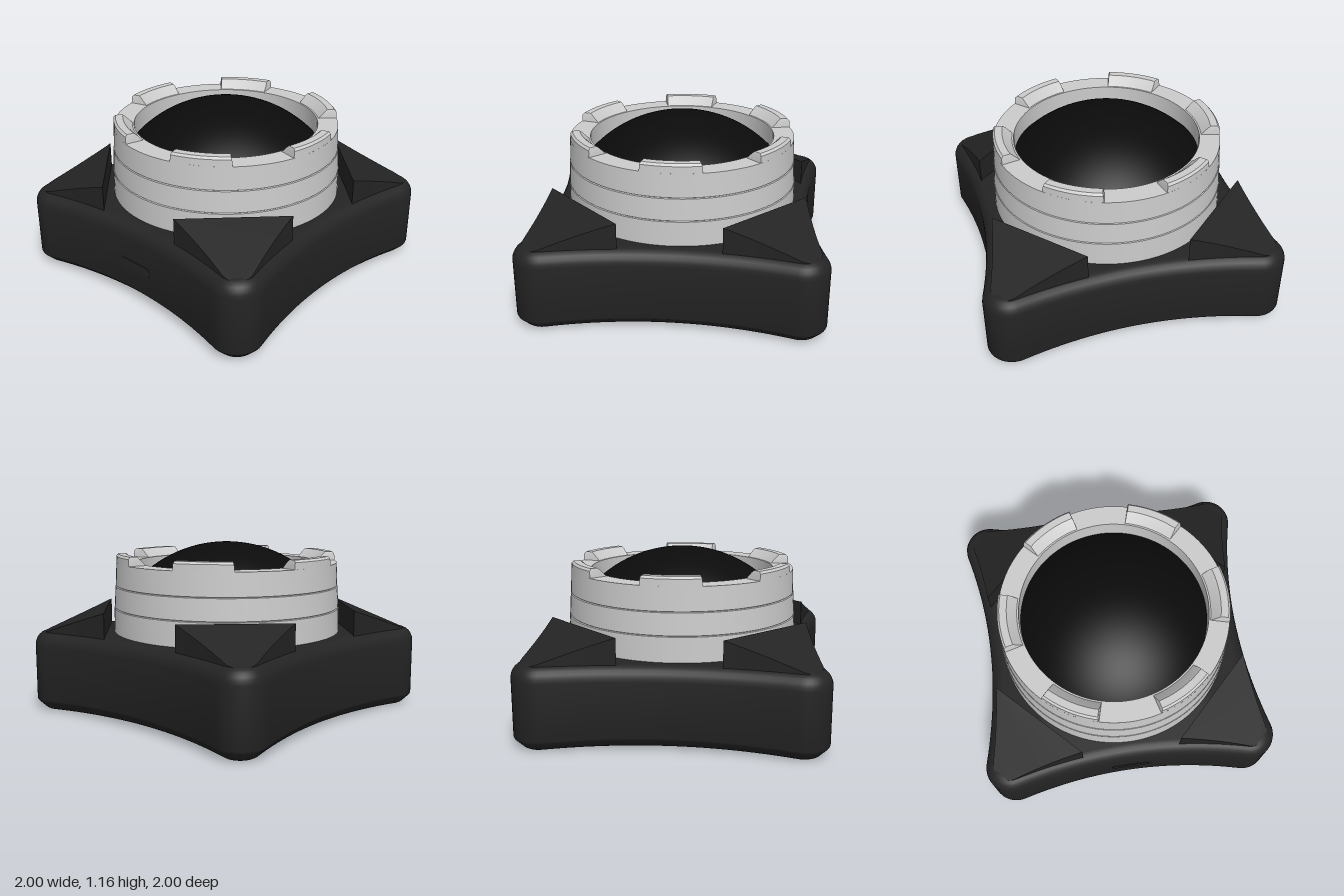
import * as THREE from 'three';
import { toCreasedNormals } from 'three/addons/utils/BufferGeometryUtils.js';

const dark = new THREE.MeshStandardMaterial({ color: 0x242424 });
const black = new THREE.MeshStandardMaterial({ color: 0x0b0b0b });
const grey = new THREE.MeshStandardMaterial({ color: 0xcccccc });

// Footprint: four inward-bowed sides joined by round corners, shrunk by an inset
const CORNER = 0.83, RADIUS = 0.17, MID = 0.895, TILT = 0.248;
const sideEnd = (d) => CORNER - (RADIUS - d) * Math.sin(TILT);
function sideDepth(t, d) {
  const end = CORNER + (RADIUS - d) * Math.cos(TILT);
  return MID - d + (end - MID + d) * (t / sideEnd(d)) ** 2;
}
function cornerArc(d, steps) {
  const pts = [];
  for (let i = 1; i < steps; i++) {
    const a = -TILT + (Math.PI / 2 + 2 * TILT) * i / steps;
    pts.push([CORNER + (RADIUS - d) * Math.cos(a), CORNER + (RADIUS - d) * Math.sin(a)]);
  }
  return pts;
}
function outline(d) {
  const quarter = [], n = 24;
  for (let i = 0; i <= n; i++) {
    const t = sideEnd(d) * (2 * i / n - 1);
    quarter.push([sideDepth(t, d), t]);
  }
  quarter.push(...cornerArc(d, 14));
  const turns = [([x, z]) => [x, z], ([x, z]) => [-z, x], ([x, z]) => [-x, -z], ([x, z]) => [z, -x]];
  return turns.flatMap((turn) => quarter.map(turn));
}

function add(parent, name, geometry, material) {
  const mesh = new THREE.Mesh(geometry, material);
  mesh.name = name;
  parent.add(mesh);
  return mesh;
}

// Housing: stacked outlines from [inset, height, arch of the lower edge]
function housingGeometry() {
  const levels = [[0.075, 0, 0.015], [0.06, 0.008, 0.015], [0.005, 0.062, 0.015], [0, 0.075, 0.015]];
  for (let i = 0; i <= 6; i++) {
    const a = (Math.PI / 2) * i / 6;
    levels.push([0.09 * (1 - Math.cos(a)), 0.455 + 0.097 * Math.sin(a), 0]);
  }
  const pos = [], idx = [];
  let n = 0;
  for (const [d, y, arch] of levels) {
    const loop = outline(d);
    n = loop.length;
    for (const [x, z] of loop) {
      const t = Math.min(1, Math.min(Math.abs(x), Math.abs(z)) / 0.8);
      pos.push(x, y + arch * (1 - t * t), z);
    }
  }
  const last = (levels.length - 1) * n, bottom = levels.length * n, top = bottom + 1;
  pos.push(0, 0.018, 0, 0, 0.552, 0);
  for (let j = 0; j < n; j++) {
    const k = (j + 1) % n;
    for (let r = 0; r < last; r += n) {
      idx.push(r + j, r + n + j, r + k, r + k, r + n + j, r + n + k);
    }
    idx.push(bottom, j, k, top, last + k, last + j);
  }
  const g = new THREE.BufferGeometry();
  g.setAttribute('position', new THREE.Float32BufferAttribute(pos, 3));
  g.setIndex(idx);
  return toCreasedNormals(g, 0.5);
}

// Corner wedge: inset corner of the footprint, its top falling towards the tip
function wedgeGeometry() {
  const d = 0.06, from = 0.33, n = 10, side = [];
  for (let i = 0; i <= n; i++) {
    const t = from + (sideEnd(d) - from) * i / n;
    side.push([sideDepth(t, d), t]);
  }
  const mirrored = side.map(([a, b]) => [b, a]).reverse();
  const pts = [...side, ...cornerArc(d, 10), ...mirrored].map(([x, y]) => new THREE.Vector2(x, y));
  const g = new THREE.ExtrudeGeometry(new THREE.Shape(pts), { depth: 1, bevelEnabled: false });
  g.rotateX(-Math.PI / 2);
  const p = g.attributes.position;
  const ridge = (from + sideDepth(from, d)) / Math.SQRT2;
  for (let i = 0; i < p.count; i++) {
    const s = (p.getX(i) - p.getZ(i)) / Math.SQRT2;
    p.setY(i, p.getY(i) > 0.5 ? 0.72 - 0.4 * (s - ridge) : 0.5);
  }
  return toCreasedNormals(g, 0.5);
}

// Bayonet tooth: a box bent round the ring, chamfered outside and sloped inside
function toothGeometry() {
  const rows = [[1.02, 0.632, 0.768], [1.075, 0.685, 0.766], [1.09, 0.703, 0.752]];
  const g = new THREE.BoxGeometry(1, 1, 1, 1, 2, 10);
  const p = g.attributes.position;
  for (let i = 0; i < p.count; i++) {
    const row = Math.round((p.getY(i) + 0.5) * 2);
    const [y, inner, outer] = rows[row];
    const r = p.getX(i) > 0 ? outer : inner;
    const a = p.getZ(i) * (Math.PI / 6) * (1 - 0.025 * row);
    p.setXYZ(i, r * Math.cos(a), y, r * Math.sin(a));
  }
  return toCreasedNormals(g, 0.3);
}

// Port cover: flat pill on the front side
function pillGeometry(halfWidth, radius, depth) {
  const c = halfWidth - radius;
  const s = new THREE.Shape();
  s.absarc(c, 0, radius, -Math.PI / 2, Math.PI / 2);
  s.absarc(-c, 0, radius, Math.PI / 2, Math.PI * 1.5);
  return new THREE.ExtrudeGeometry(s, { depth, bevelEnabled: false, curveSegments: 12 });
}

export function createModel() {
  const model = new THREE.Group();
  model.name = 'lensUnit';

  add(model, 'housing', housingGeometry(), dark);
  const wedge = wedgeGeometry();
  for (let i = 0; i < 4; i++) {
    add(model, 'cornerWedge', wedge, dark).rotation.y = i * Math.PI / 2;
  }
  add(model, 'portCover', pillGeometry(0.142, 0.034, 0.03), dark).position.set(0, 0.262, 0.87);

  // Lens barrel with two fine grooves
  const barrel = [
    [0.79, 0.5], [0.787, 0.716], [0.779, 0.72], [0.785, 0.724], [0.777, 0.867], [0.768, 0.871],
    [0.775, 0.875], [0.768, 1.03], [0.63, 1.03], [0.63, 0.84],
  ].map(([r, y]) => new THREE.Vector2(r, y));
  add(model, 'lensBarrel', toCreasedNormals(new THREE.LatheGeometry(barrel, 120), 0.4), grey);

  const tooth = toothGeometry();
  for (let i = 0; i < 6; i++) {
    add(model, 'bayonetTooth', tooth, grey).rotation.y = i * Math.PI / 3;
  }

  // Domed glass, sunk below the rim at its edge
  const dome = new THREE.SphereGeometry(0.88, 96, 24, 0, Math.PI * 2, 0, Math.asin(0.635 / 0.88));
  add(model, 'glassDome', dome, black).position.y = 0.285;

  return model;
}
